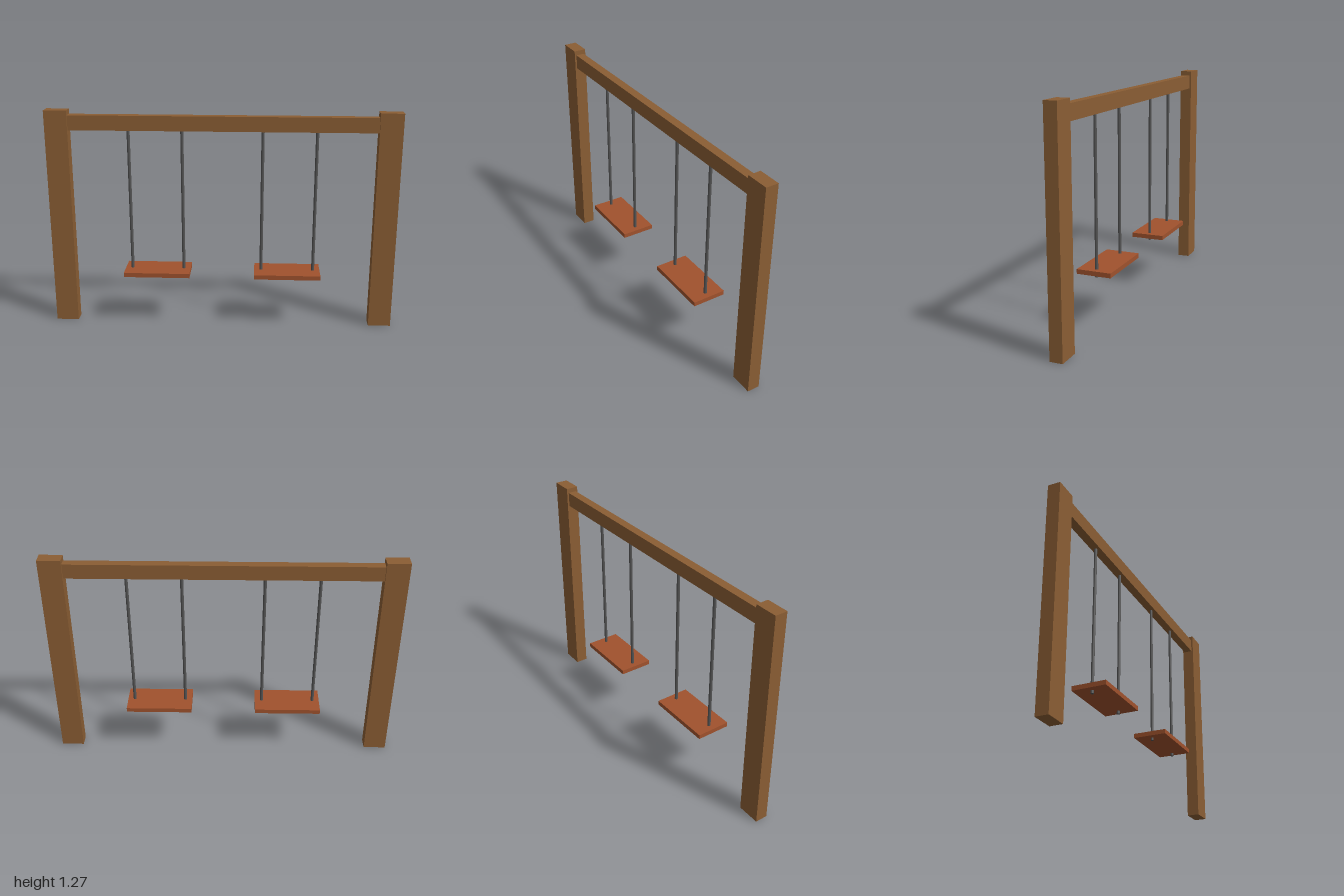
import * as THREE from 'three';

const wood = new THREE.MeshStandardMaterial({ color: 0x8b5e34 });
const seatWood = new THREE.MeshStandardMaterial({ color: 0xa0522d });
const metal = new THREE.MeshStandardMaterial({ color: 0x555555 });

// Axis-aligned board from its size and centre
function board(name, material, [w, h, d], [x, y, z]) {
  const mesh = new THREE.Mesh(new THREE.BoxGeometry(w, h, d), material);
  mesh.name = name;
  mesh.position.set(x, y, z);
  return mesh;
}

// Seat plank hung on two rods whose ends poke out below it
function createSwing(name, x) {
  const swing = new THREE.Group();
  swing.name = name;
  swing.position.x = x;
  swing.add(board('seat', seatWood, [0.384, 0.026, 0.196], [0, 0.32, 0]));
  const bottom = 0.29, top = 1.17;
  for (const side of [-1, 1]) {
    const rod = new THREE.Mesh(
      new THREE.CylinderGeometry(0.009, 0.009, top - bottom, 8), metal);
    rod.name = side > 0 ? 'leftRod' : 'rightRod';
    rod.position.set(side * 0.152, (top + bottom) / 2, 0);
    swing.add(rod);
  }
  return swing;
}

export function createModel() {
  const model = new THREE.Group();
  model.name = 'swingSet';

  // Crossbeam between the posts
  model.add(board('crossbeam', wood, [1.76, 0.085, 0.05], [0, 1.203, 0]));

  // Mirrored posts and swings
  for (const side of [-1, 1]) {
    const label = side > 0 ? 'left' : 'right';
    model.add(board(label + 'Post', wood, [0.13, 1.273, 0.072], [side * 0.935, 0.6365, 0]));
    model.add(createSwing(label + 'Swing', side * 0.38));
  }
  return model;
}
